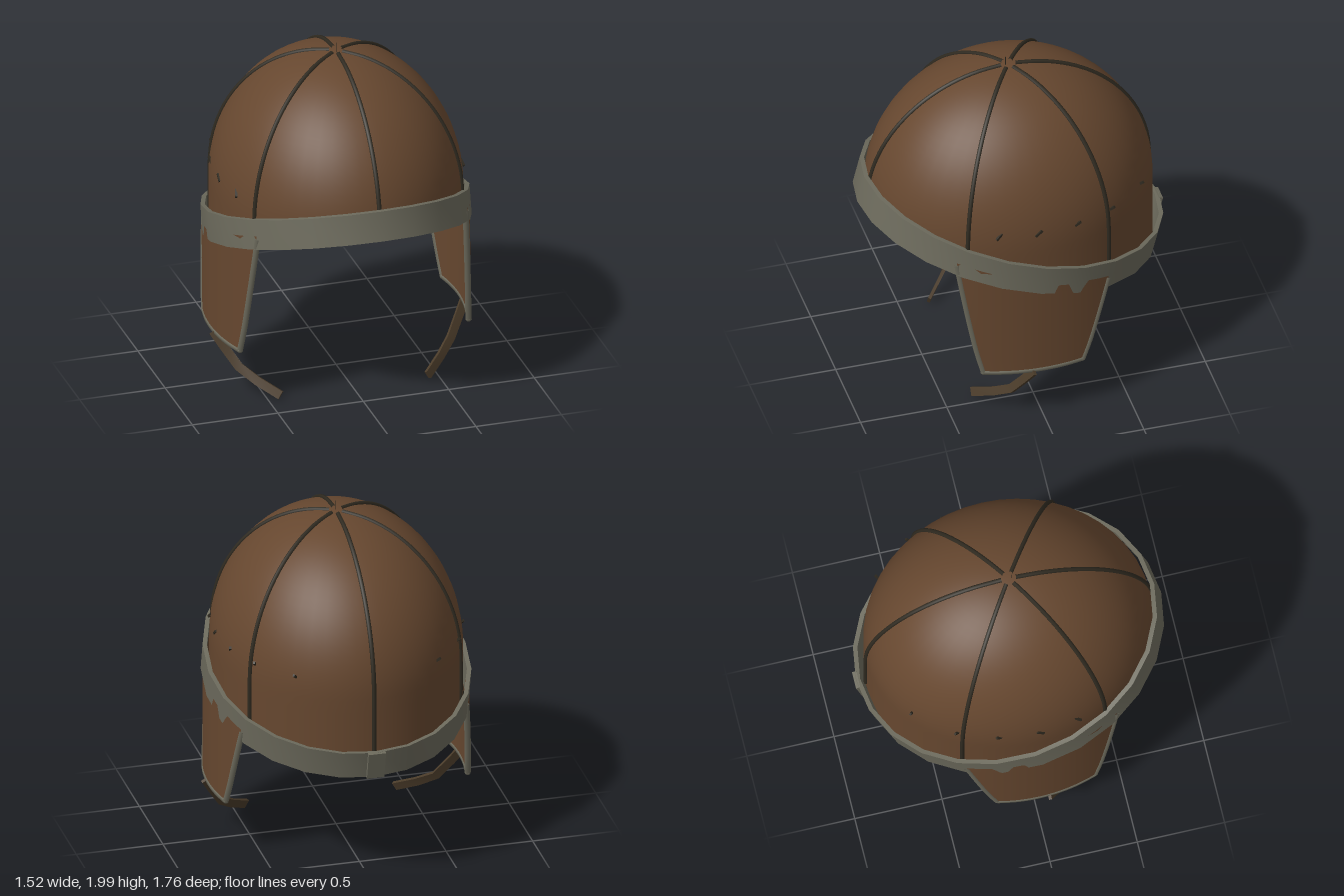
import * as THREE from 'three';
import { toCreasedNormals } from 'three/addons/utils/BufferGeometryUtils.js';
import { ParametricGeometry } from 'three/addons/geometries/ParametricGeometry.js';

const mat = (name, color, side = THREE.FrontSide) => {
  const m = new THREE.MeshStandardMaterial({ color, side });
  m.name = name;
  return m;
};
const lerp = THREE.MathUtils.lerp;
const vec = (x, y, z) => new THREE.Vector3(x, y, z);

// Height of the headband's centre line at depth z
const bandY = z => 0.965 + 0.28 * z + 0.06 * z * z;

// Smooth surface from a rule (u, v) -> [x, y, z], with sharp edges kept
const surface = (rule, nu, nv) => toCreasedNormals(
  new ParametricGeometry((u, v, p) => p.set(...rule(u, v)), nu, nv), 0.7);

// Rounded dome down to a slanted lower edge; dir -1 faces out, 1 faces in
function shell(rx, ry, rz, dir, floor = 0) {
  return surface((u, v) => {
    const a = dir * u * Math.PI * 2;
    const rim = Math.max(bandY(rz * Math.cos(a)) - 0.07, floor);
    const t = Math.min(v / 0.8, 1) * Math.PI / 2;
    const y = v < 0.8 ? 1.15 + ry * Math.cos(t) : lerp(1.15, Math.min(rim, 1.15), (v - 0.8) / 0.2);
    return [rx * Math.sin(t) * Math.sin(a), Math.max(y, rim), rz * Math.sin(t) * Math.cos(a)];
  }, 48, 30);
}

const tube = (points, radius, sides = 6, closed = false) => new THREE.TubeGeometry(
  new THREE.CatmullRomCurve3(points, closed), points.length * 3, radius, sides, closed);

export function createModel() {
  const leather = mat('brown leather', 0x66472f, THREE.DoubleSide);
  const felt = mat('grey felt', 0x6c6a5c, THREE.DoubleSide);
  const seam = mat('dark seam', 0x2f2a20);
  const strapLeather = mat('dark strap leather', 0x4a3b29);

  const model = new THREE.Group();
  model.name = 'paddedCap';
  const add = (name, geometry, material, parent = model) => {
    const mesh = new THREE.Mesh(geometry, material);
    mesh.name = name;
    parent.add(mesh);
    return mesh;
  };

  // Dome, lining and rim
  add('dome', shell(0.7, 0.795, 0.815, -1), leather);
  add('lining', shell(0.68, 0.77, 0.795, 1, 0.77), felt);
  const rim = [];
  for (let i = 0; i < 24; i++) {
    const a = i / 24 * Math.PI * 2, z = 0.805 * Math.cos(a);
    rim.push(vec(0.69 * Math.sin(a), bandY(z) - 0.07, z));
  }
  add('rim', tube(rim, 0.015, 6, true), seam);

  // Six seams running from the crown to the band
  for (let i = 0; i < 6; i++) {
    const a = i * Math.PI / 3, points = [];
    for (let k = 0; k <= 8; k++) {
      const t = lerp(0.05, Math.PI / 2, k / 8);
      const z = 0.817 * Math.sin(t) * Math.cos(a);
      points.push(vec(0.702 * Math.sin(t) * Math.sin(a),
        Math.max(1.15 + 0.797 * Math.cos(t), bandY(z)), z));
    }
    const end = points[8];
    if (end.y > bandY(end.z) + 0.02) points.push(vec(end.x, bandY(end.z), end.z));
    add('domeSeam', tube(points, 0.013), seam);
  }
  add('crownThread', new THREE.CylinderGeometry(0.002, 0.002, 0.06, 4), seam).position.set(0, 1.97, 0.015);

  // Headband: thin slanted ring, [size offset, up] per cross-section corner
  const corners = [[0, 1], [0, -1], [-0.025, -1], [-0.025, 1], [0, 1]];
  add('headband', surface((u, v) => {
    const a = -u * Math.PI * 2;
    const [inset, up] = corners[Math.round(v * 4)];
    const z = (0.855 + inset) * Math.cos(a);
    return [(0.742 + inset) * Math.sin(a), bandY(0.855 * Math.cos(a)) + up * 0.083, z - up * 0.02];
  }, 24, 4), felt);
  const join = add('bandJoin', new THREE.BoxGeometry(0.1, 0.17, 0.025), felt);
  join.position.set(0, bandY(-0.855), -0.853);
  join.rotation.x = -0.24;

  for (const side of [1, -1]) {
    const half = new THREE.Group();
    half.name = side > 0 ? 'leftSide' : 'rightSide';
    model.add(half);

    // Ear flap: p runs front to back, q bottom to top
    const flap = (p, q, r = 0.735) => {
      const z = lerp(lerp(0.335, -0.23, p), lerp(0.475, -0.395, p), Math.pow(q, 0.85));
      return [side * r * Math.sqrt(1 - (z / 0.87) ** 2), lerp(0.345, bandY(z) - 0.01, q), z];
    };
    add('earFlapOuter', surface((p, q) => flap(p, q), 14, 8), leather, half);
    add('earFlapInner', surface((p, q) => flap(p, q, 0.712), 14, 8), leather, half);

    // Flap trim on the three free edges
    const steps = [0, 0.2, 0.4, 0.6, 0.8, 1];
    const edges = [
      steps.map(t => flap(0, t * 0.98, 0.724)),
      steps.map(t => flap(t, 0, 0.724)),
      steps.map(t => flap(1, t * 0.98, 0.724)),
    ];
    for (const edge of edges) add('flapTrim', tube(edge.map(p => vec(...p)), 0.018), felt, half);
    for (const p of [0, 1]) {
      add('trimCorner', new THREE.SphereGeometry(0.018, 8, 6), felt, half).position.set(...flap(p, 0, 0.724));
    }

    // Chin strap: flat ribbon swept along a bent path, closed at both ends
    const path = [[0.738, 0.345, 0.06], [0.69, 0.265, 0.1], [0.62, 0.155, 0.16], [0.535, 0.09, 0.24], [0.43, 0.03, 0.335]]
      .map(([x, y, z]) => vec(side * x, y, z));
    const last = path.length - 1;
    add('chinStrap', surface((u, v) => {
      const n = Math.round(u * (last + 2)) - 1;
      const i = THREE.MathUtils.clamp(n, 0, last);
      const size = n === i ? 1 : 0;
      const along = path[Math.min(i + 1, last)].clone().sub(path[Math.max(i - 1, 0)]).normalize();
      const wide = vec(-along.y, along.x, 0).normalize();
      const thick = along.clone().cross(wide);
      const c = Math.round(v * 4) % 4;
      const w = (c === 0 || c === 3 ? 1 : -1) * 0.025 * size;
      const d = (c < 2 ? -1 : 1) * 0.009 * size;
      return path[i].clone().addScaledVector(wide, w).addScaledVector(thick, d).toArray();
    }, last + 2, 4), strapLeather, half);

    // Small stitches along the side of the dome
    for (const z of [0.24, 0.02, -0.21, -0.43, -0.65]) {
      const stitch = add('stitch', new THREE.BoxGeometry(0.012, 0.014, 0.05), seam, half);
      const x = 0.7 * Math.sqrt(1 - 0.0225 - (z / 0.815) ** 2);
      stitch.position.set(side * x, 1.27, z);
      stitch.rotation.set(0.7, -side * Math.atan2(0.738 * z, x), 0, 'YXZ');
      stitch.rotation.y *= -1;
    }
  }
  return model;
}
